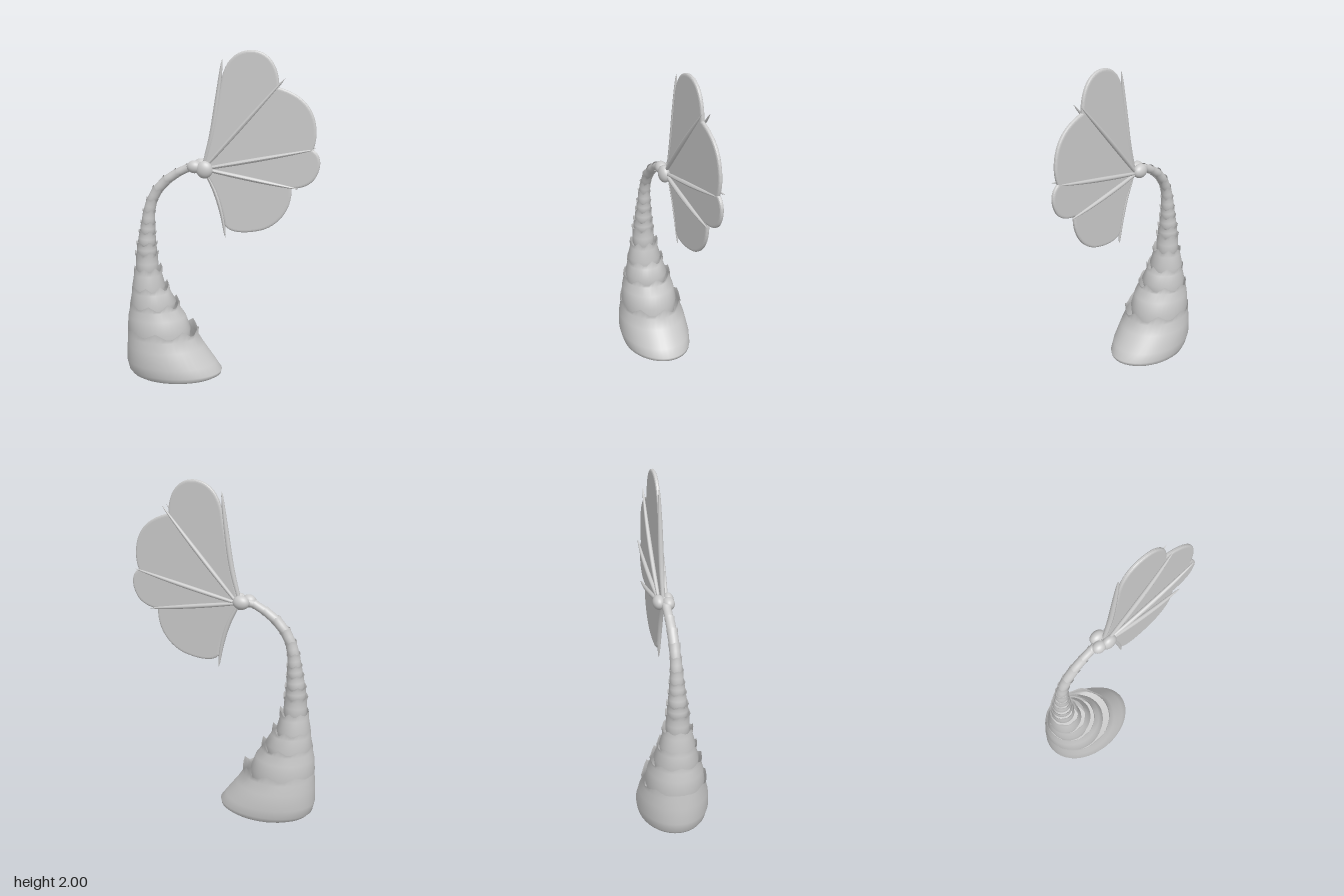
import * as THREE from 'three';

const mat = new THREE.MeshStandardMaterial({ color: 0xcccccc, roughness: 0.8, side: THREE.DoubleSide });
const FAN_Z = -0.013;

function add(parent, name, geometry) {
  const mesh = new THREE.Mesh(geometry, mat);
  mesh.name = name;
  parent.add(mesh);
  return mesh;
}

// Loft through elliptical rings [x, y, rx, rz, lean, z]; the last ring gets a toothed rim.
function loft(rings, tooth, sides = 40, teeth = 8) {
  const pos = [], idx = [];
  rings.forEach(([x, y, rx, rz, lean = 0, z = 0], i) => {
    for (let j = 0; j < sides; j++) {
      const t = (j / sides) * Math.PI * 2;
      const phase = (j / sides) * teeth % 1;
      let jag = 0;
      if (i === rings.length - 1) {
        jag = tooth * (Math.abs(phase - 0.5) * 2 - 0.4) * (1 + 0.4 * Math.cos(t));
      }
      const u = Math.cos(t) * rx;
      pos.push(
        x + u * Math.cos(lean) + jag * Math.sin(lean),
        y - u * Math.sin(lean) + jag * Math.cos(lean),
        z + Math.sin(t) * rz
      );
      if (i > 0) {
        const k = (j + 1) % sides, a = (i - 1) * sides, b = i * sides;
        idx.push(a + j, b + j, a + k, a + k, b + j, b + k);
      }
    }
  });
  const g = new THREE.BufferGeometry();
  g.setAttribute('position', new THREE.Float32BufferAttribute(pos, 3));
  g.setIndex(idx);
  g.computeVertexNormals();
  return g;
}

// Slim rod along a curve, tapering to points at the ends.
function rod(points, radius) {
  const curve = new THREE.CatmullRomCurve3(points.map((p) => new THREE.Vector3(...p)));
  const n = 24, sides = 10;
  const g = new THREE.TubeGeometry(curve, n, radius, sides);
  const p = g.attributes.position, v = new THREE.Vector3();
  for (let i = 0; i < p.count; i++) {
    const t = Math.floor(i / (sides + 1)) / n;
    const c = curve.getPointAt(t);
    const s = 0.1 + 0.9 * Math.pow(Math.sin(Math.PI * (0.15 + 0.85 * t)), 0.6);
    v.fromBufferAttribute(p, i).sub(c).multiplyScalar(t === 1 ? 0.05 : s).add(c);
    p.setXYZ(i, v.x, v.y, v.z);
  }
  g.computeVertexNormals();
  return g;
}

export function createModel() {
  const model = new THREE.Group();
  model.name = 'fanTailedStalk';

  // Wide base and the large overlapping scales
  const stalk = new THREE.Group();
  stalk.name = 'stalk';
  model.add(stalk);
  add(stalk, 'base', loft([
    [-0.27, 0.008, 0.001, 0.001, -0.03],
    [-0.27, 0.01, 0.25, 0.185, -0.03],
    [-0.272, 0.022, 0.274, 0.2, -0.03],
    [-0.282, 0.045, 0.289, 0.206, -0.02],
    [-0.307, 0.1, 0.278, 0.215],
    [-0.343, 0.2, 0.239, 0.205],
    [-0.36, 0.26, 0.219, 0.188],
    [-0.358, 0.295, 0.219, 0.192],
  ], 0.04));
  const bigScales = [
    [[-0.38, 0.2, 0.18, 0.16], [-0.385, 0.3, 0.194, 0.174], [-0.397, 0.38, 0.177, 0.162],
      [-0.41, 0.43, 0.153, 0.148], [-0.409, 0.455, 0.153, 0.152]],
    [[-0.425, 0.38, 0.12, 0.12], [-0.42, 0.47, 0.14, 0.131], [-0.432, 0.53, 0.117, 0.113],
      [-0.434, 0.56, 0.114, 0.117]],
    [[-0.45, 0.49, 0.09, 0.09], [-0.447, 0.57, 0.1, 0.105], [-0.45, 0.64, 0.085, 0.087],
      [-0.448, 0.675, 0.086, 0.091]],
  ];
  bigScales.forEach((rings, i) => add(stalk, `largeScale${i + 1}`, loft(rings, 0.034 - i * 0.004)));

  // Small scales nested along the curving neck: [x, y, radius]
  const neck = [
    [-0.455, 0.66, 0.073], [-0.456, 0.765, 0.064], [-0.455, 0.83, 0.057], [-0.45, 0.9, 0.048],
    [-0.445, 0.96, 0.042], [-0.438, 1.03, 0.036], [-0.42, 1.1, 0.032], [-0.385, 1.165, 0.031],
    [-0.33, 1.225, 0.029], [-0.265, 1.27, 0.026], [-0.2, 1.303, 0.024], [-0.13, 1.318, 0.022],
  ];
  for (let i = 0; i < neck.length - 1; i++) {
    const [x0, y0, r0] = neck[i], [x1, y1, r1] = neck[i + 1];
    const lean = Math.atan2(x1 - x0, y1 - y0);
    const z = FAN_Z * (i / neck.length);
    const ring = (t, r) => [x0 + (x1 - x0) * t, y0 + (y1 - y0) * t, r, r, lean, z];
    add(stalk, `neckScale${i + 1}`, loft([
      ring(-0.3, r0 * 0.75), ring(0.1, r0 * 0.95), ring(0.5, (r0 + r1) / 2),
      ring(0.85, r1 * 1.03), ring(1.1, r1 * 1.14),
    ], r1 * 0.35, 24, 6));
  }

  // Rounded joint where the fan is held
  const hub = new THREE.Group();
  hub.name = 'hub';
  model.add(hub);
  [
    [-0.155, 1.315, 0.008, 0.045, 0.038, 0.036],
    [-0.092, 1.302, 0.018, 0.05, 0.052, 0.034],
    [-0.125, 1.315, -0.043, 0.05, 0.042, 0.036],
  ].forEach(([x, y, z, a, b, c], i) => {
    const ball = add(hub, `hubBall${i + 1}`, new THREE.SphereGeometry(1, 28, 20));
    ball.position.set(x, y, z);
    ball.scale.set(a, b, c);
  });

  // Lobed membrane
  const shape = new THREE.Shape();
  shape.moveTo(-0.1, 1.3);
  shape.bezierCurveTo(-0.05, 1.45, -0.02, 1.65, 0.01, 1.82);
  shape.bezierCurveTo(0.03, 1.93, 0.09, 1.992, 0.18, 1.992);
  shape.bezierCurveTo(0.28, 1.992, 0.335, 1.9, 0.332, 1.785);
  shape.bezierCurveTo(0.45, 1.755, 0.55, 1.69, 0.551, 1.53);
  shape.quadraticCurveTo(0.55, 1.48, 0.532, 1.435);
  shape.bezierCurveTo(0.58, 1.41, 0.59, 1.35, 0.555, 1.285);
  shape.bezierCurveTo(0.53, 1.235, 0.47, 1.215, 0.412, 1.213);
  shape.bezierCurveTo(0.42, 1.08, 0.34, 0.99, 0.25, 0.957);
  shape.bezierCurveTo(0.16, 0.93, 0.06, 0.925, 0.032, 0.97);
  shape.bezierCurveTo(0.01, 1.1, -0.03, 1.2, -0.1, 1.3);
  const membrane = new THREE.ExtrudeGeometry(shape, {
    depth: 0.008, curveSegments: 14, bevelEnabled: true,
    bevelThickness: 0.008, bevelSize: 0.015, bevelOffset: -0.007, bevelSegments: 4,
  });
  membrane.translate(0, 0, FAN_Z - 0.004);
  const fan = new THREE.Group();
  fan.name = 'fan';
  model.add(fan);
  add(fan, 'membrane', membrane);

  // Single curved ribs along the two outer edges
  add(fan, 'upperEdgeRib', rod([[-0.105, 1.31, FAN_Z], [-0.055, 1.5, FAN_Z], [-0.02, 1.72, FAN_Z], [0.008, 1.945, FAN_Z]], 0.016));
  add(fan, 'lowerEdgeRib', rod([[-0.1, 1.3, FAN_Z], [-0.035, 1.17, FAN_Z], [0.005, 1.04, FAN_Z], [0.028, 0.89, FAN_Z]], 0.014));

  // Paired ribs, one on each face of the membrane
  const tips = [[0.37, 1.84], [0.555, 1.445], [0.46, 1.21]];
  tips.forEach(([x, y], i) => {
    for (const side of [1, -1]) {
      const at = (t, off) => [-0.1 + (x + 0.1) * t, 1.305 + (y - 1.305) * t, FAN_Z + side * off];
      add(fan, `rib${i + 1}${side > 0 ? 'Front' : 'Back'}`,
        rod([at(0, 0.022), at(0.35, 0.03), at(0.7, 0.032), at(1, 0.027)], 0.013));
    }
  });

  return model;
}
